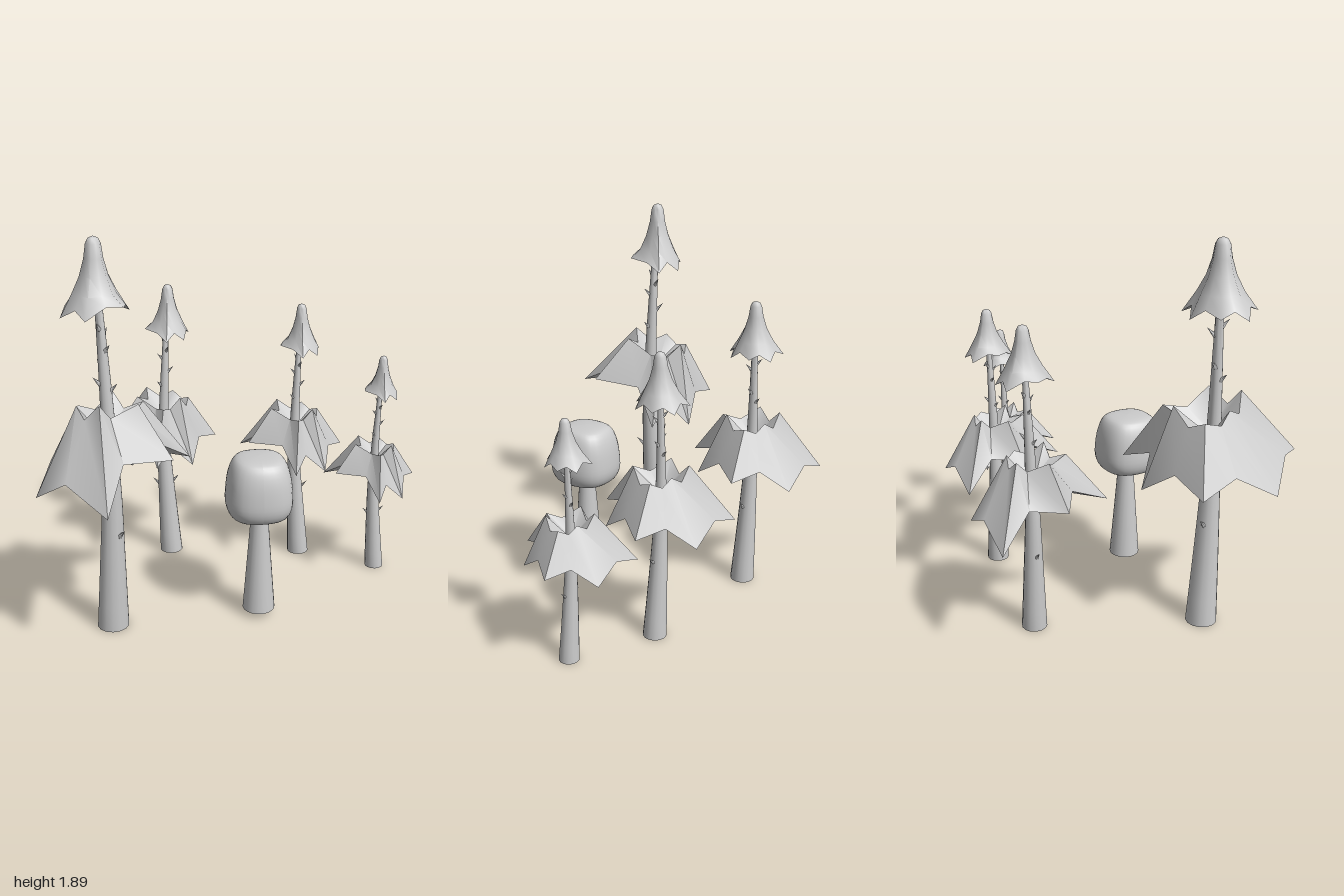
import * as THREE from 'three';
import { toCreasedNormals } from 'three/addons/utils/BufferGeometryUtils.js';

const material = new THREE.MeshStandardMaterial({ color: 0xcccccc, side: THREE.DoubleSide });

// Joins closed rings of points, from the top or inside to the rim.
function loft(rings, crease) {
  const pos = [];
  for (let r = 0; r < rings.length - 1; r++) {
    const a = rings[r], b = rings[r + 1], n = a.length;
    for (let i = 0; i < n; i++) {
      const j = (i + 1) % n;
      pos.push(...a[i], ...a[j], ...b[i], ...a[j], ...b[j], ...b[i]);
    }
  }
  const geo = new THREE.BufferGeometry();
  geo.setAttribute('position', new THREE.Float32BufferAttribute(pos, 3));
  return toCreasedNormals(geo, crease);
}

function add(parent, name, geo) {
  const mesh = new THREE.Mesh(geo, material);
  mesh.name = name;
  parent.add(mesh);
  return mesh;
}

// Rim of the leaf skirt, alternating tip and notch: x, y, z
const RIM = [
  [-0.28, 0.60, -0.30], [-0.07, 0.68, -0.267],
  [0.10, 0.60, -0.24], [0.15, 0.70, -0.10],
  [0.25, 0.66, 0.01], [0.13, 0.70, 0.12],
  [0.06, 0.60, 0.26], [-0.05, 0.70, 0.235],
  [-0.15, 0.64, 0.36], [-0.16, 0.74, 0.15],
  [-0.32, 0.73, 0.02], [-0.20, 0.73, -0.11],
];
// Crest of the skirt in the same order: distance from the trunk, height
const CREST = [
  [0.155, 0.93], [0.11, 0.87], [0.085, 0.91], [0.09, 0.87], [0.10, 0.89], [0.10, 0.865],
  [0.125, 0.93], [0.12, 0.87], [0.19, 0.89], [0.13, 0.87], [0.18, 0.92], [0.125, 0.875],
];
// Rim of the top cap, same order
const CAP_RIM = [
  [-0.065, 1.25, -0.13], [0, 1.275, -0.105],
  [0.07, 1.24, -0.105], [0.09, 1.275, -0.055],
  [0.11, 1.25, -0.01], [0.085, 1.275, 0.045],
  [0.06, 1.235, 0.10], [0.01, 1.275, 0.10],
  [-0.04, 1.24, 0.14], [-0.075, 1.275, 0.075],
  [-0.125, 1.285, 0.0], [-0.095, 1.29, -0.055],
];
const TOP = [0.016, -0.023]; // where the trunk has drifted to at its top

const trunkPath = new THREE.CatmullRomCurve3([
  [0, 0, 0], [-0.014, 0.3, -0.008], [-0.025, 0.6, -0.014],
  [-0.02, 0.85, -0.018], [-0.008, 1.1, -0.02], [0.012, 1.42, -0.023],
].map(p => new THREE.Vector3(...p)));

function trunkRadius(y) {
  return y < 0.75 ? THREE.MathUtils.lerp(0.062, 0.029, y / 0.75)
    : THREE.MathUtils.lerp(0.029, 0.01, (y - 0.75) / 0.67);
}

function trunkGeometry() {
  const n = 14, rows = 14, rings = [];
  for (let r = 0; r <= rows; r++) {
    const c = trunkPath.getPoint(1 - r / rows), rad = trunkRadius(c.y);
    rings.push(Array.from({ length: n }, (_, i) => {
      const a = i / n * Math.PI * 2;
      return [c.x + rad * Math.cos(a), c.y, c.z + rad * Math.sin(a)];
    }));
  }
  return loft(rings, 0.9);
}

// Ring of points round (cx, cz), in the directions of a rim's points
const collar = (rim, cx, cz, r, y) => rim.map(([x, , z]) => {
  const l = Math.hypot(x, z);
  return [cx + x / l * r, y, cz + z / l * r];
});
const atTop = rim => rim.map(([x, y, z]) => [TOP[0] + x, y, TOP[1] + z]);

// Leaves rise from the trunk to a jagged crest, fall to long tips, and close below.
function skirtGeometry() {
  const crest = RIM.map(([x, , z], i) => {
    const [r, y] = CREST[i], l = Math.hypot(x, z);
    return [TOP[0] + x / l * r, y, TOP[1] + z / l * r];
  });
  return loft([
    collar(RIM, -0.02, -0.017, 0.022, 0.8), crest, atTop(RIM),
    collar(RIM, -0.022, -0.017, 0.025, 0.75),
  ], 0.75);
}

// Bell that blends from a round top into its jagged rim, closed below.
function capGeometry() {
  const profile = [[0.001, 1.515], [0.018, 1.508], [0.027, 1.49], [0.034, 1.44], [0.05, 1.38], [0.076, 1.32]];
  const rings = profile.map(([r, y], k) => CAP_RIM.map(([x, , z]) => {
    const l = Math.hypot(x, z), s = r * (1 + (l / 0.11 - 1) * k / 8);
    return [TOP[0] + x / l * s, y, TOP[1] + z / l * s];
  }));
  rings.push(atTop(CAP_RIM), collar(CAP_RIM, 0.004, -0.022, 0.012, 1.295));
  return loft(rings, 1.1);
}

// Thorns: height, compass angle in degrees, length
const THORNS = [[0.42, 190, 0.05], [0.43, 20, 0.05], [0.98, 160, 0.04], [1.0, 300, 0.04],
  [1.06, 20, 0.045], [1.13, 190, 0.04], [1.17, 80, 0.045], [1.2, 250, 0.04]];

function addThorns(parent) {
  const points = trunkPath.getPoints(100);
  for (const [y, deg, len] of THORNS) {
    const c = points.find(p => p.y >= y);
    const a = deg * Math.PI / 180;
    const dir = new THREE.Vector3(Math.cos(a), 0, Math.sin(a));
    const thorn = add(parent, 'thorn', new THREE.ConeGeometry(0.01, len, 5));
    thorn.position.copy(c).addScaledVector(dir, trunkRadius(y) + len * 0.22);
    dir.y = 1;
    thorn.quaternion.setFromUnitVectors(new THREE.Vector3(0, 1, 0), dir.normalize());
  }
}

function tree(x, z, scale, lean, yaw = 0, skirtTilt = 0) {
  const group = new THREE.Group();
  group.name = 'tree';
  const body = new THREE.Group();
  body.name = 'treeBody';
  body.rotation.y = yaw;
  add(body, 'trunk', trunkGeometry());
  add(body, 'topCap', capGeometry());
  addThorns(body);
  // the skirt tilts about a point on the trunk below it
  const skirt = add(group, 'leafSkirt', skirtGeometry().translate(0, -0.6, 0));
  skirt.position.y = 0.6;
  skirt.rotation.set(skirtTilt, yaw, 0);
  group.add(body);
  group.position.set(x, 0, z);
  group.rotation.z = lean;
  group.scale.setScalar(scale);
  return group;
}

// Stubby mushroom with a rounded, squarish head
function mushroom() {
  const group = new THREE.Group();
  group.name = 'mushroom';
  const stem = add(group, 'mushroomStem', new THREE.CylinderGeometry(0.042, 0.08, 0.5, 18, 1, true));
  stem.position.set(0.04, 0.283, 0.338);

  const profile = [[0, 0.56], [0.1, 0.547], [0.14, 0.56], [0.16, 0.61], [0.159, 0.68],
    [0.148, 0.755], [0.125, 0.815], [0.088, 0.84], [0, 0.846]].map(p => new THREE.Vector2(...p));
  const curve = new THREE.SplineCurve(profile).getPoints(24);
  curve[0].x = curve[24].x = 0;
  const head = new THREE.LatheGeometry(curve, 32);
  const p = head.attributes.position;
  for (let i = 0; i < p.count; i++) {
    const x = p.getX(i), z = p.getZ(i), r = Math.hypot(x, z);
    if (r < 1e-6) continue;
    const k = Math.pow((x / r) ** 4 + (z / r) ** 4, -0.12);
    p.setX(i, x * k);
    p.setZ(i, z * k * 1.04);
  }
  head.computeVertexNormals();
  const mesh = add(group, 'mushroomHead', head);
  mesh.position.set(0.033, 0, 0.345);
  mesh.rotation.y = -0.15;
  return group;
}

export function createModel() {
  const model = new THREE.Group();
  model.name = 'mushroomTrees';
  model.add(
    tree(-0.675, 0.253, 1.244, -0.014, 132 * Math.PI / 180, -0.12),
    tree(-0.236, -0.44, 1, 0),
    tree(0.449, -0.232, 0.935, 0.012),
    tree(0.793, 0.047, 0.783, 0.01),
    mushroom(),
  );
  return model;
}
